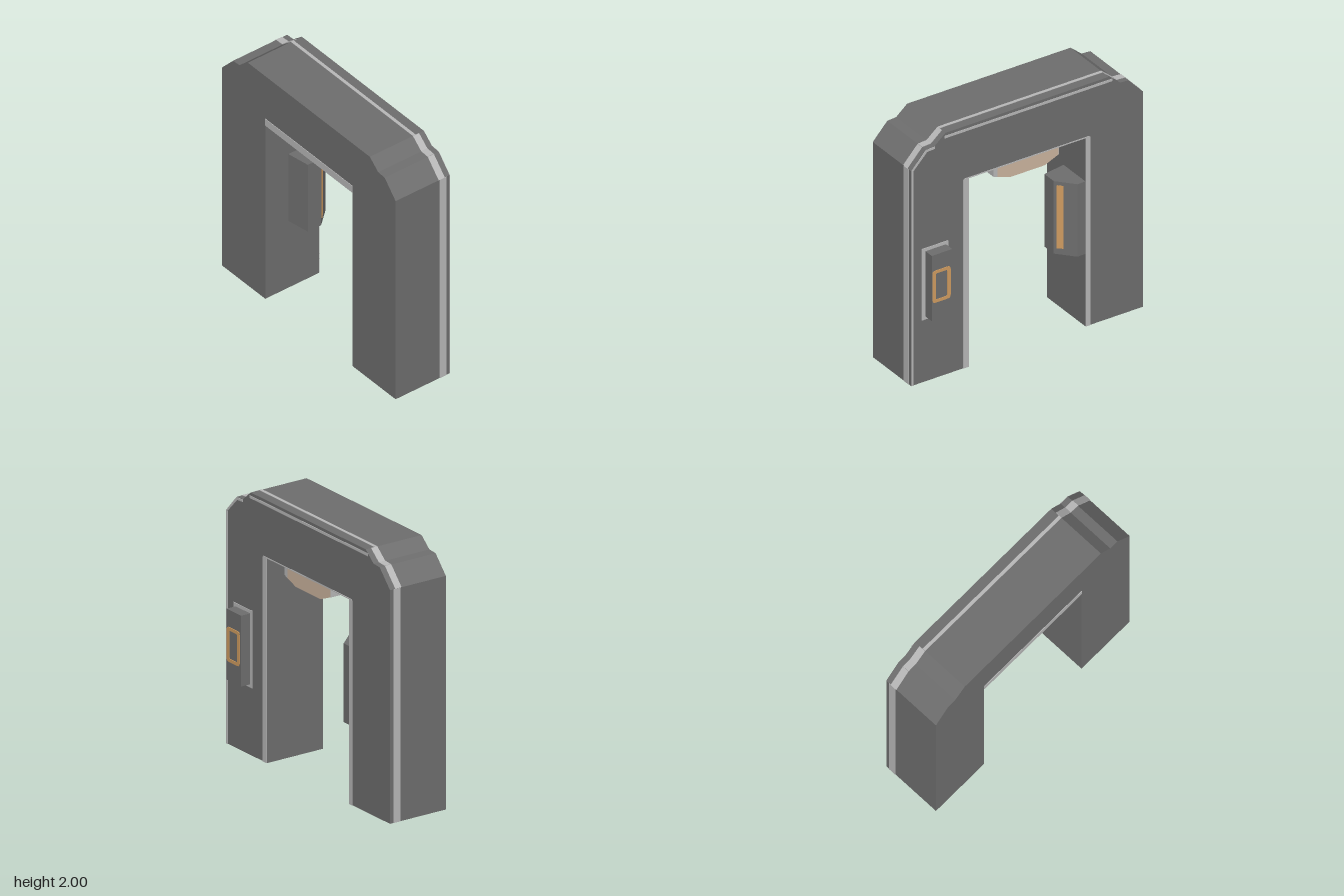
import * as THREE from 'three';

const mat = (name, color) => {
  const m = new THREE.MeshStandardMaterial({ color });
  m.name = name;
  return m;
};

export function createModel() {
  const group = new THREE.Group();
  const grey = mat('dark grey', 0x6e6e6e);
  const silver = mat('silver', 0xb8b8b8);
  const orange = mat('orange', 0xd09c60);
  const tan = mat('tan', 0xccb49e);
  const X0 = -0.29, X1 = 0.2, T = 0.006;

  const add = (name, geo, material) => {
    const mesh = new THREE.Mesh(geo, material);
    mesh.name = name;
    group.add(mesh);
    return mesh;
  };
  // Box given by its limits
  const box = (name, material, x0, x1, y0, y1, z0, z1) => add(name,
    new THREE.BoxGeometry(x1 - x0, y1 - y0, z1 - z0)
      .translate((x0 + x1) / 2, (y0 + y1) / 2, (z0 + z1) / 2), material);
  // Outline of [z, y] points extruded along x
  const outline = (pts) => new THREE.Shape(pts.map(([z, y]) => new THREE.Vector2(-z, y)));
  const alongX = (shape, x0, x1) =>
    new THREE.ExtrudeGeometry(shape, { depth: x1 - x0, bevelEnabled: false, curveSegments: 4 })
      .rotateY(Math.PI / 2).translate(x0, 0, 0);

  // Arch: two legs and a lintel with stepped shoulders
  const half = [[0.995, 0], [0.995, 1.78], [0.87, 1.915], [0.795, 1.92], [0.7, 2]];
  const outer = [...half, ...half.map(([z, y]) => [-z, y]).reverse()];
  const inner = [[-0.5, 0], [-0.5, 1.56], [0.5, 1.56], [0.5, 0]];
  add('arch', alongX(outline([...outer, ...inner]), X0, X1), grey);

  // Silver stripe running over the outer faces
  for (let i = 0; i < outer.length - 1; i++) {
    const [za, ya] = outer[i], [zb, yb] = outer[i + 1];
    const onTop = i === 4, onLeg = i === 0 || i === 8;
    const [a, b] = onTop ? [0.1, 0.125] : onLeg ? [0.11, 0.17] : [0.1, 0.155];
    const strip = box('outerStripe', silver, a, b, -T / 2, T / 2,
      -Math.hypot(zb - za, yb - ya) / 2, Math.hypot(zb - za, yb - ya) / 2);
    strip.position.set(0, (ya + yb) / 2, (za + zb) / 2);
    strip.rotation.x = -Math.atan2(yb - ya, zb - za);
  }

  // Trim plates on the side faces
  const sidePlate = (name, y0, y1, z0, z1) => box(name, silver, X1 - 0.002, X1 + 0.004, y0, y1, z0, z1);
  sidePlate('jambTrim', 0, 1.56, 0.5, 0.55);
  sidePlate('jambTrim', 0, 1.56, -0.54, -0.5);
  sidePlate('lintelTrim', 1.56, 1.568, -0.53, 0.54);
  sidePlate('topTrim', 1.957, 1.977, -0.73, 0.71);
  sidePlate('edgeTrim', 0, 1.78, 0.977, 0.993);
  add('shoulderTrim', alongX(outline([[0.993, 1.78], [0.87, 1.913], [0.795, 1.918],
    [0.795, 1.9], [0.86, 1.895], [0.977, 1.775]]), X1 - 0.002, X1 + 0.004), silver);
  box('backLintelTrim', silver, X0 - 0.004, X0 + 0.002, 1.56, 1.62, -0.5, 0.5);

  // Control panel on the outer side of the front leg
  box('panelFrame', silver, X1 - 0.002, X1 + 0.005, 0.515, 1.105, 0.68, 0.905);
  box('panelBody', grey, X1, 0.285, 0.54, 1.08, 0.7, 0.875);
  const rounded = (S, z0, z1, y0, y1, r) => {
    const s = new S(), a = -z1, b = -z0;
    s.moveTo(a + r, y0).lineTo(b - r, y0).quadraticCurveTo(b, y0, b, y0 + r)
      .lineTo(b, y1 - r).quadraticCurveTo(b, y1, b - r, y1)
      .lineTo(a + r, y1).quadraticCurveTo(a, y1, a, y1 - r)
      .lineTo(a, y0 + r).quadraticCurveTo(a, y0, a + r, y0);
    return s;
  };
  const ring = rounded(THREE.Shape, 0.715, 0.87, 0.685, 0.95, 0.025);
  ring.holes.push(rounded(THREE.Path, 0.745, 0.843, 0.71, 0.925, 0.012));
  add('panelRing', alongX(ring, 0.284, 0.289), orange);

  // Reader inside the opening, on the rear leg
  const plan = [[0.2, -0.5], [0.2, -0.43], [0.07, -0.315], [-0.05, -0.315], [-0.08, -0.5]];
  add('reader', new THREE.ExtrudeGeometry(
    new THREE.Shape(plan.map(([x, z]) => new THREE.Vector2(x, -z))),
    { depth: 0.6, bevelEnabled: false }).rotateX(-Math.PI / 2).translate(0, 0.6, 0), grey);
  const light = box('readerLight', orange, -0.027, 0.027, 0.65, 1.17, -T / 2, T / 2);
  light.position.set(0.107, 0, -0.348);
  light.rotation.y = Math.atan2(0.13, 0.115);

  // Ceiling lamp under the lintel, with silver ends
  add('ceilingLamp', alongX(outline([[0.255, 1.56], [-0.268, 1.56], [-0.268, 1.5],
    [-0.15, 1.45], [0.15, 1.45], [0.255, 1.487]]), -0.12, X1), tan);
  add('lampEnd', alongX(outline([[0.29, 1.56], [0.255, 1.56], [0.255, 1.487], [0.29, 1.5]]),
    -0.12, X1), silver);
  box('lampEnd', silver, -0.12, X1, 1.5, 1.56, -0.273, -0.267);

  return group;
}
